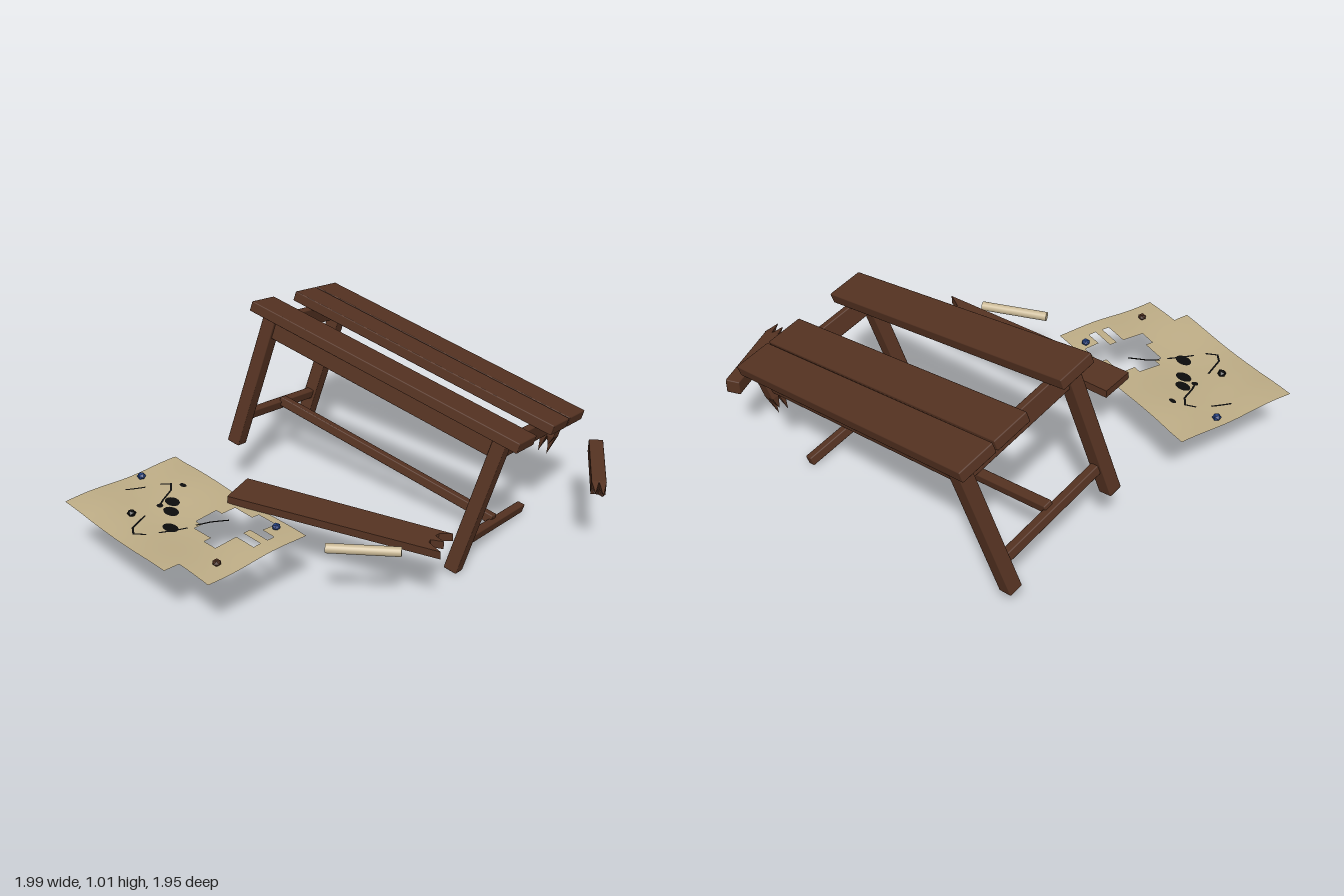
import * as THREE from 'three';
import { RoundedBoxGeometry } from 'three/addons/geometries/RoundedBoxGeometry.js';

const material = (name, color, side = THREE.FrontSide) => {
  const m = new THREE.MeshStandardMaterial({ color, side });
  m.name = name;
  return m;
};

export function createModel() {
  const wood = material('dark wood', 0x563322);
  const paper = material('old paper', 0xbfae87, THREE.DoubleSide);
  const parchment = material('rolled parchment', 0xc8b794);
  const ink = material('black ink', 0x0c0c0c, THREE.DoubleSide);
  const blue = material('blue stone', 0x223f80);
  const brown = material('brown stone', 0x4a2c1e);

  const model = new THREE.Group();
  model.name = 'brokenTableScene';
  const add = (parent, name, geometry, mat) => {
    const mesh = new THREE.Mesh(geometry, mat);
    mesh.name = name;
    parent.add(mesh);
    return mesh;
  };
  const beam = (parent, name, size, pos) => {
    const mesh = add(parent, name, new RoundedBoxGeometry(...size, 1, 0.005), wood);
    mesh.position.set(...pos);
    return mesh;
  };

  // Tilted table: origin at the middle of the front top edge
  const table = new THREE.Group();
  table.name = 'table';
  table.position.set(-0.031, 0.86, -0.25);
  table.rotation.set(-0.218, 0, -0.2095, 'ZYX');
  model.add(table);

  const LEG = 0.068, LEG_X = 0.645, FRONT = -0.06, REAR = -0.678, FOOT = -0.73;
  // Three remaining top planks; the second one has fallen out
  for (const z of [-0.09, -0.461, -0.648]) beam(table, 'topPlank', [1.49, 0.05, 0.18], [0, -0.025, z]);
  // Long aprons
  for (const z of [FRONT, REAR]) beam(table, 'longApron', [1.29, 0.095, 0.035], [0, -0.095, z]);
  for (const s of [-1, 1]) {
    const x = s * LEG_X, mid = (FRONT + REAR) / 2, span = FRONT - REAR;
    beam(table, 'sideApron', [0.035, 0.095, span], [x, -0.095, mid]);
    beam(table, 'sideStretcher', [0.04, 0.045, span], [x, -0.58, mid]);
    beam(table, 'frontLeg', [LEG, -FOOT - 0.05, LEG], [x, (FOOT - 0.05) / 2, FRONT]);
  }
  beam(table, 'rearLeg', [LEG, -FOOT - 0.05, LEG], [-LEG_X, (FOOT - 0.05) / 2, REAR]);
  beam(table, 'longStretcher', [1.28, 0.045, 0.045], [0, -0.56, -0.369]);

  // Four pyramid splinters on the end of a leg, pointing along -y
  const splinters = (parent, y, lengths) => lengths.forEach((len, i) => {
    const g = new THREE.ConeGeometry(LEG / 4 * Math.SQRT2, len, 4).toNonIndexed();
    g.rotateY(Math.PI / 4).rotateX(Math.PI);
    g.computeVertexNormals();
    const m = add(parent, 'splinter', g, wood);
    m.position.set((i % 2 ? 1 : -1) * LEG / 4, y - len / 2, (i < 2 ? -1 : 1) * LEG / 4);
  });

  // Stub of the broken rear leg
  const stub = new THREE.Group();
  stub.name = 'brokenLegStub';
  stub.position.set(LEG_X, 0, REAR);
  table.add(stub);
  beam(stub, 'stub', [LEG, 0.12, LEG], [0, -0.11, 0]);
  splinters(stub, -0.165, [0.07, 0.11, 0.1, 0.05]);

  // Broken-off leg lying on the ground
  const piece = new THREE.Group();
  piece.name = 'brokenLeg';
  const a = new THREE.Vector3(0.74, 0.386, -0.96), b = new THREE.Vector3(0.965, 0.386, -0.535);
  const dir = b.clone().sub(a).normalize();
  piece.position.copy(a);
  const side = new THREE.Vector3(0, 1, 0).cross(dir);
  piece.quaternion.setFromRotationMatrix(
    new THREE.Matrix4().makeBasis(side, dir.clone().negate(), new THREE.Vector3(0, 1, 0)));
  model.add(piece);
  beam(piece, 'legPiece', [LEG, 0.4, LEG], [0, -0.2, 0]);
  splinters(piece, -0.395, [0.03, 0.05, 0.08, 0.1]);

  // Fallen plank with a splintered end
  const outline = [[-0.435, 0.23], [-0.41, 0.405], [0.61, 0.24], [0.53, 0.205], [0.525, 0.185],
    [0.58, 0.165], [0.525, 0.145], [0.53, 0.125], [0.58, 0.09]];
  const plank = new THREE.ExtrudeGeometry(
    new THREE.Shape(outline.map(([x, z]) => new THREE.Vector2(x, -z))),
    { depth: 0.038, bevelEnabled: false });
  plank.rotateX(-Math.PI / 2).translate(0, 0.347, 0);
  add(model, 'fallenPlank', plank, wood);

  // Wavy sheet: grid of cells with a ragged hole and a missing corner
  const height = (x, z) => 0.35 + 0.005 * Math.sin(9 * x + 4 * z) + 0.005 * Math.sin(13 * z - 5 * x)
    + 0.012 * Math.max(0, -x - 0.8) * 5;
  const COLS = 24, ROWS = 16, W = 0.935, H = 0.613;
  const hole = { 1: [17, 20], 2: [14, 20], 3: [14, 22], 4: [13, 19], 5: [13, 22], 6: [13, 19], 7: [14, 19], 8: [17, 19] };
  const missing = (i, j) => (hole[j] && i >= hole[j][0] && i < hole[j][1]) || (i >= 19 && j >= 14);
  const pos = [], index = [];
  for (let j = 0; j <= ROWS; j++) for (let i = 0; i <= COLS; i++) {
    const s = i / COLS * W, t = j / ROWS * H;
    const x = -0.875 + 0.979 * s - 0.203 * t, z = 0.23 + 0.203 * s + 0.979 * t;
    pos.push(x, height(x, z), z);
    if (i === COLS || j === ROWS || missing(i, j)) continue;
    const p = j * (COLS + 1) + i, q = p + COLS + 1;
    index.push(p, q, p + 1, p + 1, q, q + 1);
  }
  const sheet = new THREE.BufferGeometry();
  sheet.setAttribute('position', new THREE.Float32BufferAttribute(pos, 3));
  sheet.setIndex(index);
  sheet.computeVertexNormals();
  add(model, 'tornSheet', sheet, paper);

  // Lay flat geometry on the sheet
  const drape = (g) => {
    const p = g.attributes.position;
    for (let i = 0; i < p.count; i++) p.setY(i, height(p.getX(i), p.getZ(i)) + 0.003);
    g.computeVertexNormals();
    return g;
  };
  // Ink blots: x, z, radii
  for (const [x, z, rx, rz] of [[-0.62, 0.54, 0.04, 0.028], [-0.575, 0.6, 0.042, 0.029],
    [-0.49, 0.7, 0.042, 0.029], [-0.665, 0.415, 0.02, 0.012], [-0.645, 0.595, 0.016, 0.014]]) {
    const g = new THREE.CircleGeometry(1, 20).rotateX(-Math.PI / 2).scale(rx, 1, rz).rotateY(-0.15);
    add(model, 'inkBlot', drape(g.translate(x, 0, z)), ink);
  }
  // Ink strokes
  const strokes = [
    [[-0.855, 0.59], [-0.805, 0.52]],
    [[-0.76, 0.46], [-0.72, 0.435], [-0.685, 0.475], [-0.665, 0.55], [-0.645, 0.6]],
    [[-0.64, 0.7], [-0.615, 0.805], [-0.58, 0.838], [-0.535, 0.81]],
    [[-0.5, 0.76], [-0.43, 0.66]],
    [[-0.41, 0.62], [-0.37, 0.57], [-0.31, 0.52]],
  ];
  for (const line of strokes) for (let i = 1; i < line.length; i++) {
    const [x0, z0] = line[i - 1], [x1, z1] = line[i];
    const g = new THREE.PlaneGeometry(Math.hypot(x1 - x0, z1 - z0) + 0.006, 0.009, 6, 1);
    g.rotateX(-Math.PI / 2).rotateY(-Math.atan2(z1 - z0, x1 - x0));
    add(model, 'inkStroke', drape(g.translate((x0 + x1) / 2, 0, (z0 + z1) / 2)), ink);
  }

  // Small stones holding the sheet down
  for (const [name, x, z, mat] of [['blueStone', -0.875, 0.465, blue], ['blueStone', -0.095, 0.455, blue],
    ['brownStone', -0.135, 0.81, brown], ['blackStone', -0.69, 0.73, ink]]) {
    const stone = add(model, name, new THREE.IcosahedronGeometry(0.021, 0), mat);
    stone.position.set(x, height(x, z) + 0.011, z);
    stone.scale.y = 0.8;
    stone.rotation.y = x * 7;
  }

  // Rolled scroll
  const scroll = add(model, 'scroll', new THREE.CylinderGeometry(0.022, 0.022, 0.325, 20), parchment);
  scroll.position.set(0.32, 0.367, 0.39);
  scroll.quaternion.setFromUnitVectors(new THREE.Vector3(0, 1, 0), new THREE.Vector3(0.29, 0, -0.165).normalize());

  return model;
}
